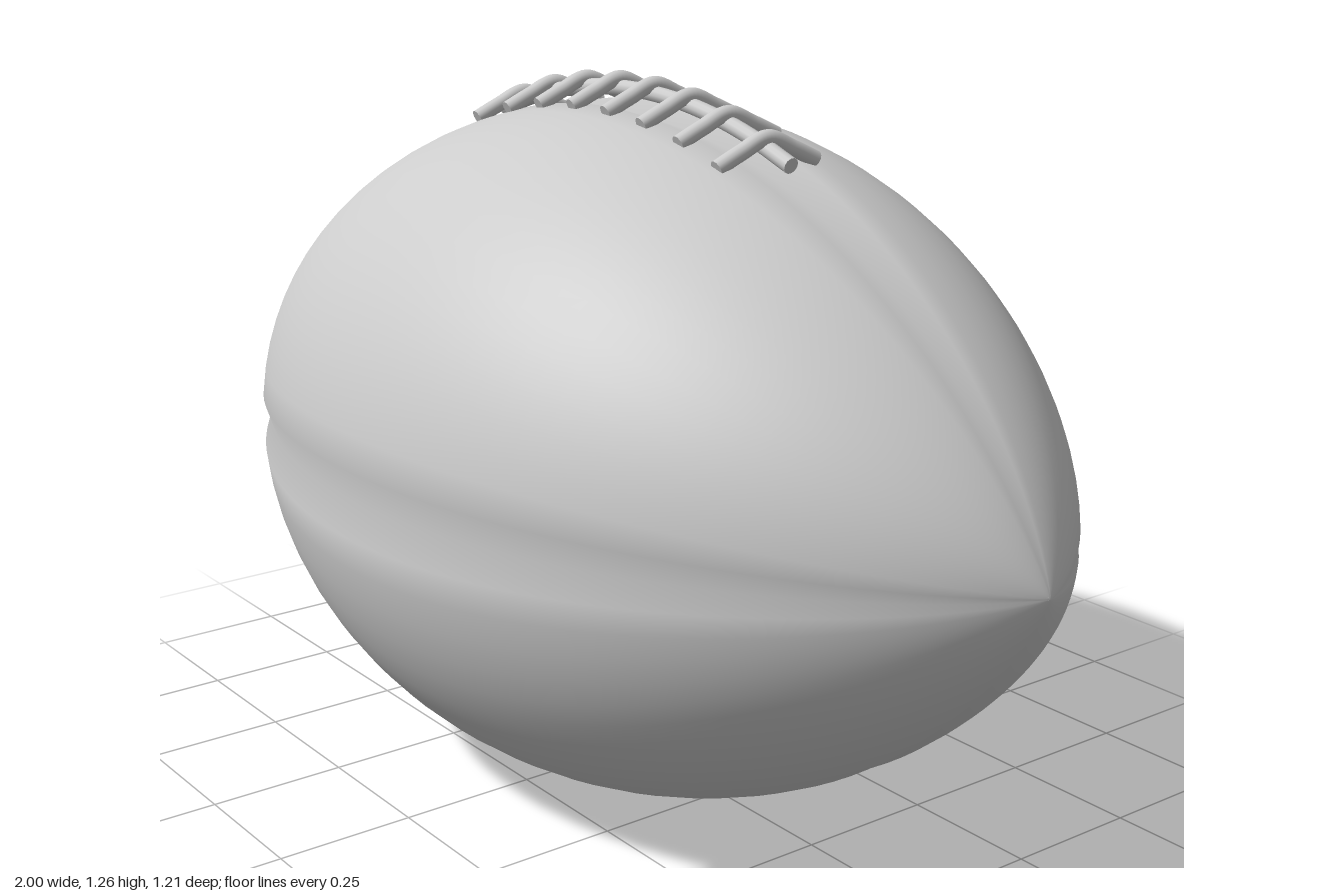
import * as THREE from 'three';

const CENTRE_Y = 0.606, SIDES = 64, RINGS = 64;

// Lens-shaped radius along the long axis, slightly blunt at the tips
function radiusAt(x) {
  const a = Math.min(Math.abs(x), 1);
  const lens = Math.sqrt(1.127 * 1.127 - a * a) - 0.5197;
  return Math.max(0, lens + 0.1 * Math.pow(a, 8) * Math.sqrt(1 - a));
}

// Ball skin: rings along x, with one vertex pulled in at each of four seams
function ballGeometry() {
  const pos = [], index = [];
  for (let i = 0; i <= RINGS; i++) {
    const x = -Math.cos((i / RINGS) * Math.PI);
    for (let j = 0; j < SIDES; j++) {
      const angle = (j / SIDES) * Math.PI * 2;
      const r = radiusAt(x) * (j % (SIDES / 4) === 0 ? 0.963 : 1.001);
      pos.push(x, CENTRE_Y + r * Math.cos(angle), r * Math.sin(angle));
    }
  }
  for (let i = 0; i < RINGS; i++) {
    for (let j = 0; j < SIDES; j++) {
      const k = (j + 1) % SIDES;
      const a = i * SIDES + j, b = i * SIDES + k;
      const c = a + SIDES, d = b + SIDES;
      if (i > 0) index.push(a, b, c);
      if (i < RINGS - 1) index.push(b, d, c);
      else index.push(a, b, c);
      if (i === RINGS - 1) index.splice(index.length - 3, 3);
    }
  }
  const geo = new THREE.BufferGeometry();
  geo.setAttribute('position', new THREE.Float32BufferAttribute(pos, 3));
  geo.setIndex(index);
  geo.computeVertexNormals();
  return geo;
}

// Round cord along a smooth path, closed with flat end caps
function cord(points, radius, material, name) {
  const group = new THREE.Group();
  group.name = name;
  const curve = new THREE.CatmullRomCurve3(points);
  group.add(new THREE.Mesh(new THREE.TubeGeometry(curve, 32, radius, 12), material));
  for (const t of [0, 1]) {
    const cap = new THREE.Mesh(new THREE.CircleGeometry(radius, 12), material);
    const out = curve.getTangent(t).multiplyScalar(t ? 1 : -1);
    cap.position.copy(curve.getPoint(t));
    cap.quaternion.setFromUnitVectors(new THREE.Vector3(0, 0, 1), out);
    group.add(cap);
  }
  group.children.forEach((m) => { m.name = name; });
  return group;
}

export function createModel() {
  const model = new THREE.Group();
  model.name = 'ball';
  const grey = new THREE.MeshStandardMaterial({ color: 0xcccccc });
  grey.name = 'light grey';

  const skin = new THREE.Mesh(ballGeometry(), grey);
  skin.name = 'skin';
  model.add(skin);

  // Long lace following the top seam
  const along = [];
  for (let i = 0; i <= 8; i++) {
    const x = -0.41 + (0.82 * i) / 8;
    along.push(new THREE.Vector3(x, CENTRE_Y + radiusAt(x) + 0.022, 0));
  }
  model.add(cord(along, 0.014, grey, 'longLace'));

  // Eight slanted cross laces arching over it
  for (let i = 0; i < 8; i++) {
    const x = -0.35 + i * 0.1;
    const top = CENTRE_Y + radiusAt(x) + 0.038;
    const path = [[-0.096, -0.042], [-0.05, -0.02], [0, 0], [0.05, -0.02], [0.096, -0.042]]
      .map(([z, dy]) => new THREE.Vector3(x - z * 0.1, top + dy, z));
    model.add(cord(path, 0.014, grey, 'crossLace'));
  }
  return model;
}
